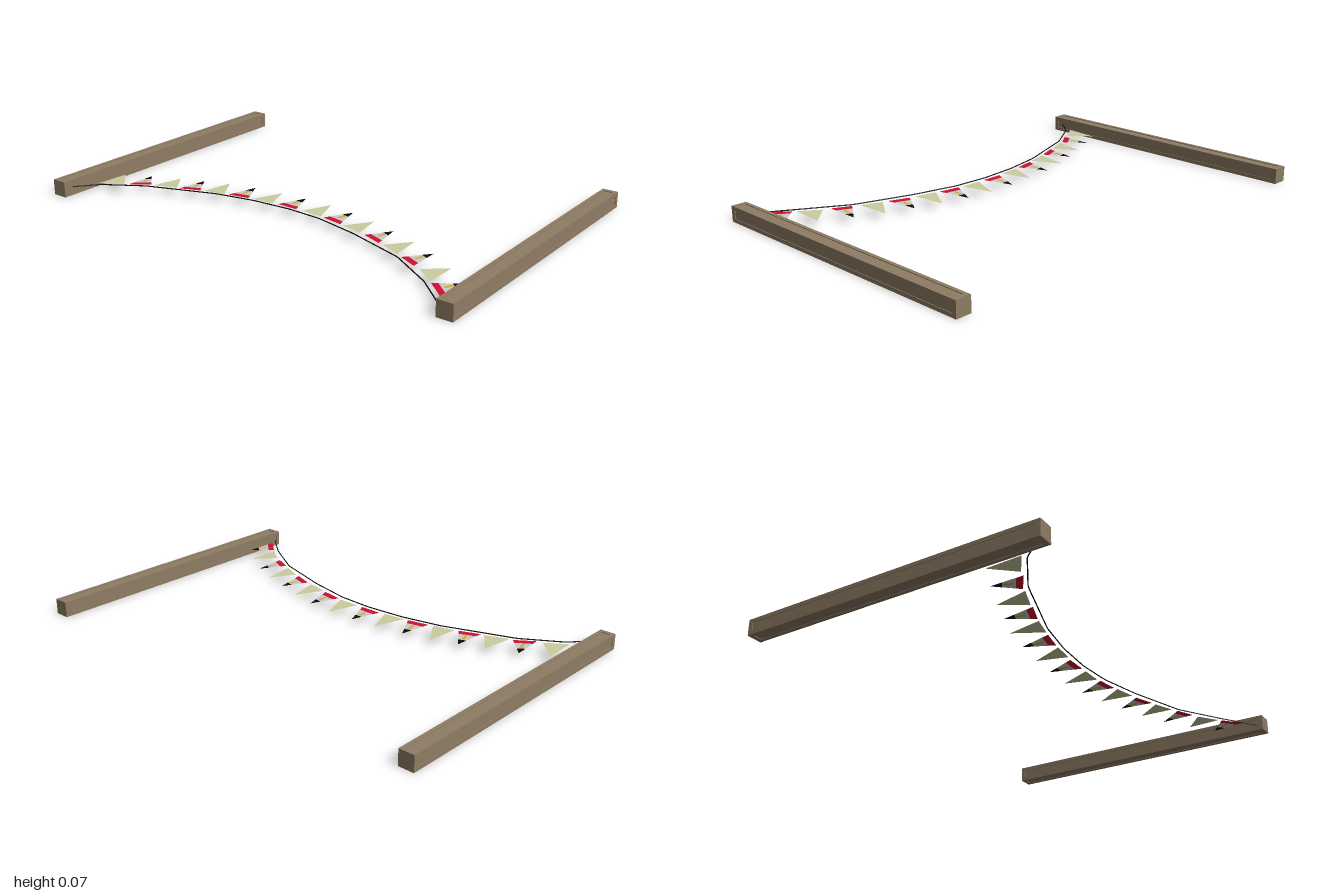
import * as THREE from 'three';

const mat = (name, color, side = THREE.FrontSide) => {
  const m = new THREE.MeshStandardMaterial({ color, side });
  m.name = name;
  return m;
};

export function createModel() {
  const wood = mat('wood', 0x8e7c64);
  const black = mat('black', 0x0a0a0a, THREE.DoubleSide);
  const plain = mat('pale olive cloth', 0xcbcc9f, THREE.DoubleSide);
  const red = mat('red cloth', 0xcf1030, THREE.DoubleSide);
  const grey = mat('light grey cloth', 0xcacaca, THREE.DoubleSide);
  const gold = mat('gold emblem', 0xccb030, THREE.DoubleSide);

  const root = new THREE.Group();
  root.name = 'buntingBetweenBeams';
  const add = (parent, name, geometry, material, x = 0, y = 0, z = 0) => {
    const mesh = new THREE.Mesh(geometry, material);
    mesh.name = name;
    mesh.position.set(x, y, z);
    parent.add(mesh);
    return mesh;
  };

  // Square beams with a shallow recessed panel along every long face
  const W = 0.068, L = 1.32, rim = 0.016, cap = 0.02, depth = 0.003;
  for (const side of [-1, 1]) {
    const beam = new THREE.Group();
    beam.name = side > 0 ? 'leftBeam' : 'rightBeam';
    beam.position.set(side * (1 - W / 2), W / 2, 0);
    const core = W - 2 * depth, inner = L - 2 * cap;
    add(beam, 'beamCore', new THREE.BoxGeometry(core, core, inner), wood);
    for (const s of [-1, 1]) {
      add(beam, 'beamEnd', new THREE.BoxGeometry(W, W, cap), wood, 0, 0, s * (L - cap) / 2);
      for (const t of [-1, 1]) {
        add(beam, 'beamEdge', new THREE.BoxGeometry(rim, rim, inner), wood,
          s * (W - rim) / 2, t * (W - rim) / 2, 0);
      }
    }
    root.add(beam);
  }

  // Sagging cord made of straight runs
  const cord = new THREE.CurvePath();
  const knots = [
    [-0.95, 0.035, 0.63], [-0.86, 0.035, 0.52], [-0.69, 0.035, 0.415], [-0.38, 0.036, 0.305],
    [-0.2, 0.036, 0.27], [-0.02, 0.036, 0.257], [0.14, 0.036, 0.266], [0.34, 0.036, 0.31],
    [0.6, 0.036, 0.393], [0.79, 0.035, 0.51], [0.95, 0.024, 0.645],
  ].map((p) => new THREE.Vector3(...p));
  for (let i = 1; i < knots.length; i++) cord.add(new THREE.LineCurve3(knots[i - 1], knots[i]));
  add(root, 'cord', new THREE.TubeGeometry(cord, 100, 0.0025, 5), black);

  // Pennants: two base corners and the tip, each as x, z
  const pennants = [
    [-0.88, 0.51, -0.79, 0.45, -0.88, 0.36], [-0.765, 0.445, -0.685, 0.39, -0.77, 0.305],
    [-0.67, 0.39, -0.57, 0.35, -0.645, 0.25], [-0.555, 0.35, -0.465, 0.315, -0.54, 0.21],
    [-0.45, 0.31, -0.355, 0.285, -0.43, 0.165], [-0.335, 0.28, -0.24, 0.26, -0.305, 0.14],
    [-0.22, 0.257, -0.123, 0.247, -0.17, 0.12], [-0.097, 0.24, 0, 0.24, -0.05, 0.112],
    [0.03, 0.24, 0.127, 0.24, 0.08, 0.107], [0.145, 0.246, 0.24, 0.262, 0.203, 0.123],
    [0.257, 0.267, 0.353, 0.289, 0.326, 0.15], [0.38, 0.294, 0.47, 0.326, 0.444, 0.187],
    [0.492, 0.332, 0.583, 0.369, 0.567, 0.225], [0.61, 0.385, 0.69, 0.422, 0.685, 0.278],
    [0.72, 0.433, 0.807, 0.497, 0.807, 0.353], [0.818, 0.508, 0.898, 0.578, 0.909, 0.433],
  ];

  pennants.forEach(([ax, az, bx, bz, cx, cz], i) => {
    const a = new THREE.Vector3(ax, 0.035, az);
    const b = new THREE.Vector3(bx, 0.035, bz);
    const c = new THREE.Vector3(cx, 0.031, cz);
    const flag = new THREE.Group();
    flag.name = i % 2 ? 'stripedPennant' : 'plainPennant';
    root.add(flag);

    // u runs across the base, t from base to tip
    const at = (u, t) => a.clone().lerp(b, u).lerp(c, t);
    const face = (name, corners, material, lift = 0) => {
      const points = corners.map(([u, t]) => at(u, t));
      const g = new THREE.BufferGeometry().setFromPoints(points);
      g.setIndex(points.length === 3 ? [0, 1, 2] : [0, 1, 2, 0, 2, 3]);
      g.computeVertexNormals();
      add(flag, name, g, material, 0, lift, 0);
    };
    const band = (name, t0, t1, material) =>
      face(name, [[0, t0], [1, t0], [1, t1], [0, t1]], material);

    if (i % 2 === 0) {
      face('cloth', [[0, 0], [1, 0], [0.5, 1]], plain);
      return;
    }
    band('baseStripe', 0, 0.22, red);
    band('middleStripe', 0.22, 0.64, grey);
    face('tip', [[0, 0.64], [1, 0.64], [0.5, 1]], black);
    // Small emblem on both sides of the cloth
    for (const lift of [0.001, -0.001]) {
      face('emblem', [[0.42, 0.3], [0.58, 0.3], [0.7, 0.6], [0.3, 0.6]], gold, lift);
    }
  });

  return root;
}
